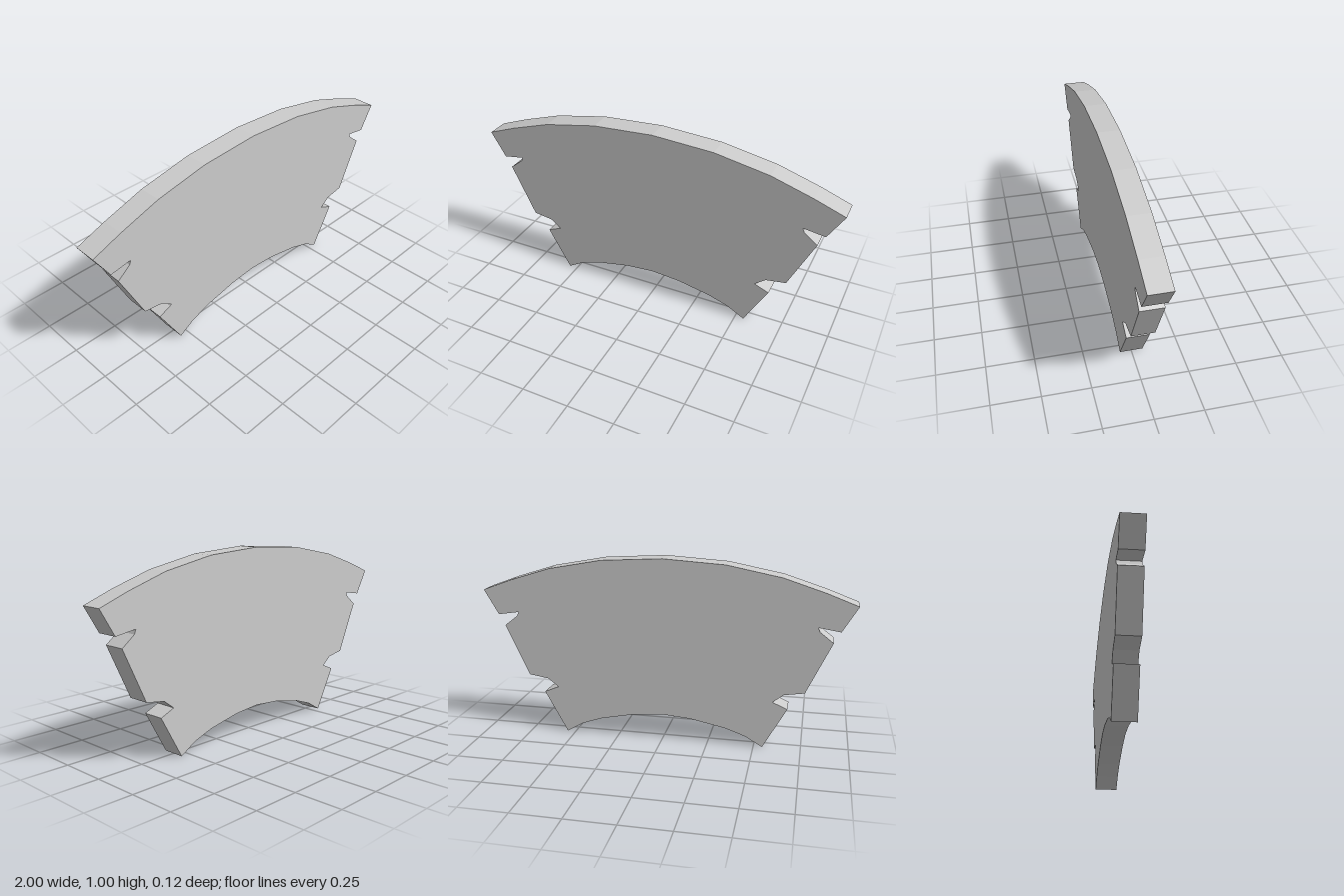
import * as THREE from 'three';

const DEPTH = 0.12;

// Right half of the outline, from the crown down the notched side to the inner arch
const half = [
  [0, 1], [0.33, 0.98], [0.62, 0.925], [0.84, 0.855], [1, 0.795], // outer arc
  [0.92, 0.66], [0.805, 0.678], [0.815, 0.655], [0.886, 0.6],     // upper notch
  [0.757, 0.322], [0.65, 0.305], [0.592, 0.26], [0.672, 0.226],   // lower notch
  [0.547, 0], [0.457, 0.053], [0.345, 0.092], [0.158, 0.13], [0, 0.143], // inner arc
];

export function createModel() {
  const group = new THREE.Group();
  group.name = 'archedPlate';

  // Mirror the half outline, leaving out the two points on the centre line
  const mirrored = half.slice(1, -1).reverse().map(([x, y]) => [-x, y]);
  const outline = [...half, ...mirrored].map(([x, y]) => new THREE.Vector2(x, y));

  const geometry = new THREE.ExtrudeGeometry(new THREE.Shape(outline), {
    depth: DEPTH,
    bevelEnabled: false,
  });
  geometry.translate(0, 0, -DEPTH / 2);

  const plate = new THREE.Mesh(
    geometry,
    new THREE.MeshStandardMaterial({ color: 0xcccccc, flatShading: true }),
  );
  plate.name = 'notchedPlate';
  group.add(plate);
  return group;
}
